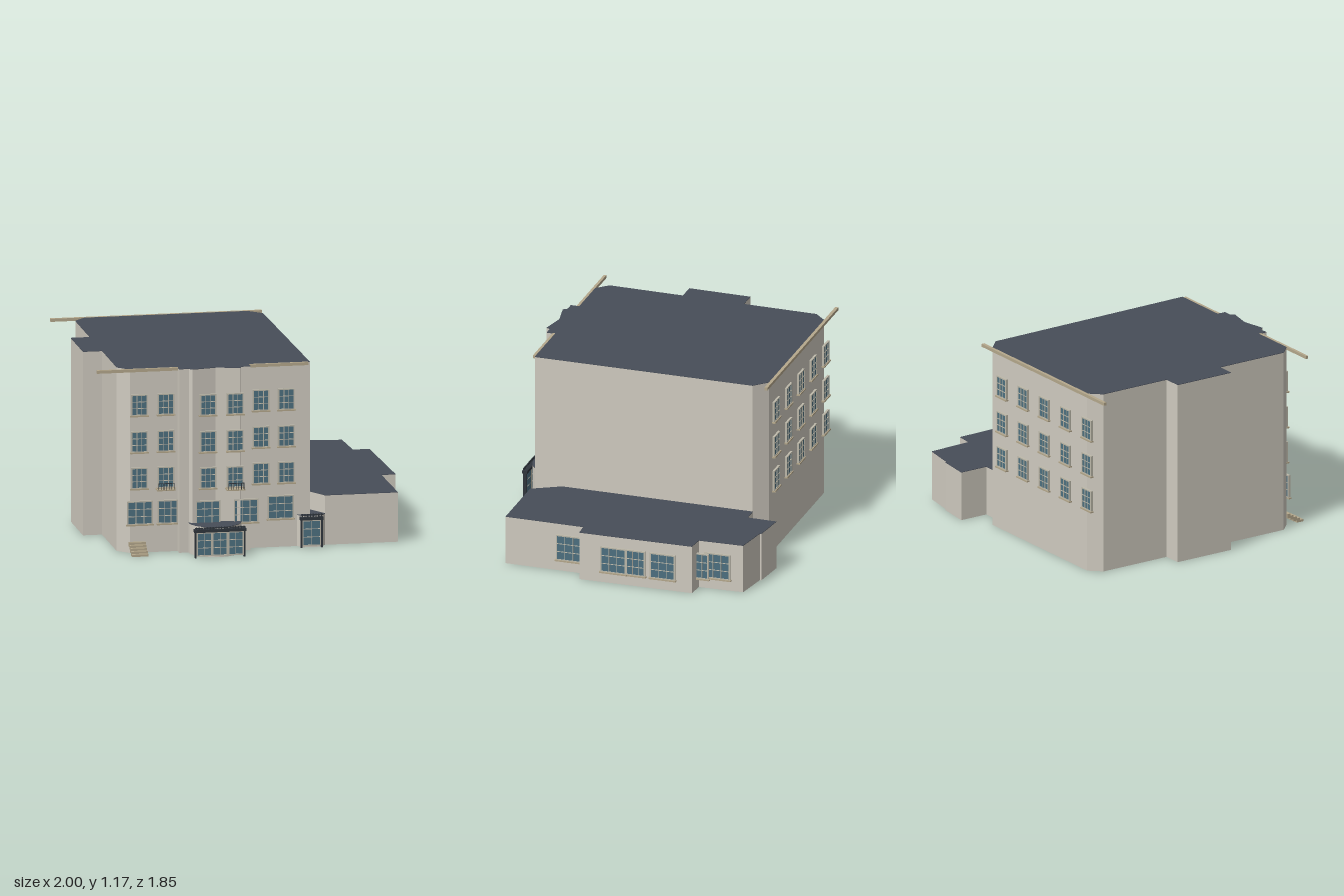
import * as THREE from 'three';

const mat = (color) => new THREE.MeshStandardMaterial({ color });
const WALL = mat(0xd0cbc0), ROOF = mat(0x474d58), GLASS = mat(0x4d7080);
const TRIM = mat(0xb5a88c), FRAME = mat(0xbdb9aa), DARK = mat(0x2f353c);

function box(name, material, x0, x1, y0, y1, z0, z1) {
  const m = new THREE.Mesh(new THREE.BoxGeometry(x1 - x0, y1 - y0, z1 - z0), material);
  m.position.set((x0 + x1) / 2, (y0 + y1) / 2, (z0 + z1) / 2);
  m.name = name;
  return m;
}

// Upright volume over a floor plan of [x, z] corners, with a thin dark roof on top
function block(name, plan, height) {
  const g = new THREE.Group();
  g.name = name;
  const shape = new THREE.Shape(plan.map(([x, z]) => new THREE.Vector2(x, -z)));
  const slab = (part, material, y, depth) => {
    const geo = new THREE.ExtrudeGeometry(shape, { depth, bevelEnabled: false });
    geo.rotateX(-Math.PI / 2);
    const m = new THREE.Mesh(geo, material);
    m.position.y = y;
    m.name = name + part;
    g.add(m);
  };
  slab('Walls', WALL, 0, height - 0.003);
  slab('Roof', ROOF, height - 0.003, 0.003);
  return g;
}

// Frame with a grid of openings, a pane behind it and an optional sill; faces +z
function makeWindow(name, w, h, cols, rows, frameMat = FRAME, sill = true) {
  const g = new THREE.Group();
  g.name = name;
  const rect = (P, x0, y0, x1, y1) => {
    const p = new P();
    p.moveTo(x0, y0).lineTo(x1, y0).lineTo(x1, y1).lineTo(x0, y1).closePath();
    return p;
  };
  const edge = 0.008, bar = 0.004;
  const shape = rect(THREE.Shape, -w / 2, 0, w / 2, h);
  const cw = (w - 2 * edge + bar) / cols, ch = (h - 2 * edge + bar) / rows;
  for (let i = 0; i < cols; i++) for (let j = 0; j < rows; j++) {
    const x = -w / 2 + edge + i * cw, y = edge + j * ch;
    shape.holes.push(rect(THREE.Path, x, y, x + cw - bar, y + ch - bar));
  }
  const frame = new THREE.Mesh(new THREE.ExtrudeGeometry(shape, { depth: 0.014, bevelEnabled: false }), frameMat);
  frame.name = 'windowFrame';
  g.add(frame, box('pane', GLASS, -w / 2 + 0.003, w / 2 - 0.003, 0.003, h - 0.003, 0.001, 0.011));
  if (sill) g.add(box('sill', TRIM, -w / 2 - 0.006, w / 2 + 0.006, -0.006, 0.003, 0, 0.02));
  return g;
}

export function createModel() {
  const model = new THREE.Group();
  const H = 1.165, FRONT = 0.68, BACK = -0.82, BAY = 0.755;

  // Main block with chamfered corners, left projection and shallow folded front bay
  model.add(block('mainBlock', [
    [-0.79, FRONT], [-0.49, FRONT], [-0.49, 0.735], [-0.43, 0.735], [-0.41, 0.76], [-0.26, 0.73],
    [-0.11, 0.76], [-0.1, 0.735], [-0.04, 0.735], [-0.04, FRONT], [0.343, FRONT], [0.322, -0.74],
    [0.24, BACK], [-0.79, BACK], [-0.86, -0.745], [-0.86, -0.27], [-0.98, -0.27],
    [-0.98, 0.13], [-0.86, 0.13], [-0.86, 0.61],
  ], H));

  // Low side wing
  model.add(block('sideWing', [
    [0.322, -0.742], [0.42, -0.742], [0.42, -0.93], [0.63, -0.905], [0.63, -0.895], [0.842, -0.86],
    [0.855, -0.575], [0.96, -0.565], [0.982, 0.165], [0.892, 0.17], [0.898, 0.677], [0.44, 0.677], [0.34, 0.5],
  ], 0.315));

  // Side porch in the corner between main block and wing
  model.add(block('sidePorch', [[0.3, 0.6], [0.26, 0.678], [0.29, 0.725], [0.41, 0.725], [0.44, 0.676], [0.34, 0.5]], 0.2));

  // Half-round entrance hall
  const arc = [[-0.43, 0.7]];
  for (let i = 0; i <= 16; i++) {
    const a = Math.PI * (1 - i / 16);
    arc.push([-0.267 + 0.165 * Math.cos(a), 0.735 + 0.165 * Math.sin(a)]);
  }
  arc.push([-0.1, 0.7]);
  model.add(block('entranceHall', arc, 0.19));

  // Roof edge boards
  model.add(
    box('backCornice', TRIM, -1, 0.33, 1.147, 1.166, -0.84, BACK),
    box('frontCorniceLeft', TRIM, -1, -0.49, 1.147, 1.166, FRONT, 0.697),
    box('frontCorniceRight', TRIM, -0.04, 0.33, 1.147, 1.166, FRONT, 0.697));

  // Upper windows, front and back
  const floors = [0.405, 0.635, 0.868];
  const place = (w, x, y, z, turn = 0) => {
    w.position.set(x, y, z);
    w.rotation.y = turn;
    model.add(w);
  };
  for (const y of floors) {
    for (const x of [-0.733, -0.565, -0.313, -0.142, 0.034, 0.193]) {
      const inBay = x > -0.4 && x < -0.05;
      place(makeWindow('upperFrontWindow', 0.104, 0.135, 3, 3), x, y, inBay ? BAY - 0.005 : FRONT);
    }
    for (const x of [-0.8, -0.565, -0.335, -0.105, 0.125])
      place(makeWindow('upperBackWindow', 0.104, 0.135, 3, 3), x, y, BACK, Math.PI);
  }

  // Ground floor front windows: [left, right, z]
  for (const [a, b, z] of [[-0.81, -0.647, FRONT], [-0.617, -0.49, FRONT], [-0.39, -0.235, 0.745],
    [-0.15, 0.004, 0.745], [0.075, 0.24, FRONT]])
    place(makeWindow('groundFrontWindow', b - a, 0.15, 3, 3), (a + b) / 2, 0.178, z);

  // Wing windows on the right: [z front, z back, x]
  for (const [a, b, x] of [[0.345, 0.175, 0.893], [0.025, -0.14, 0.976], [-0.14, -0.265, 0.97],
    [-0.295, -0.46, 0.966], [-0.565, -0.65, 0.88], [-0.61, -0.78, 0.849]])
    place(makeWindow('wingWindow', a - b, 0.17, a - b > 0.1 ? 3 : 2, 3), x, 0.073, (a + b) / 2, Math.PI / 2 + 0.02);

  // Small balconies with front railings
  for (const [x, z] of [[-0.57, FRONT], [-0.145, BAY]]) {
    const g = new THREE.Group();
    g.name = 'balcony';
    const zf = z + 0.057;
    g.add(box('balconyFloor', TRIM, x - 0.058, x + 0.058, 0.395, 0.403, z - 0.01, zf));
    g.add(box('handrail', DARK, x - 0.05, x + 0.05, 0.44, 0.444, zf - 0.004, zf));
    for (let i = 0; i < 7; i++) {
      const p = x - 0.05 + i * 0.0162;
      g.add(box('baluster', DARK, p, p + 0.003, 0.4, 0.442, zf - 0.004, zf));
    }
    model.add(g);
  }

  // Glazed doors with dark canopies and a row of short posts above
  const entrance = (name, x0, x1, z, doors, doorH, topY) => {
    const g = new THREE.Group();
    g.name = name;
    const w = (x1 - x0 - 0.02) / doors;
    for (let i = 0; i < doors; i++) {
      const d = makeWindow('glazedDoor', w, doorH - 0.01, 2, 3, FRAME, false);
      d.position.set(x0 + 0.01 + (i + 0.5) * w, 0.01, z);
      g.add(d);
    }
    for (const x of [x0, x1 - 0.01]) g.add(box('doorPost', DARK, x, x + 0.01, 0, doorH, z - 0.005, z + 0.018));
    g.add(box('canopy', DARK, x0 - 0.004, x1 + 0.004, doorH, doorH + 0.018, z - 0.01, z + 0.024));
    g.add(box('canopyRail', DARK, x0, x1, topY - 0.008, topY - 0.003, z + 0.014, z + 0.02));
    const n = Math.round((x1 - x0) / 0.018);
    for (let i = 0; i < n; i++) {
      const x = x0 + (i + 0.5) * (x1 - x0) / n;
      g.add(box('canopyPost', DARK, x - 0.003, x + 0.003, doorH + 0.01, topY, z + 0.014, z + 0.02));
    }
    model.add(g);
  };
  entrance('mainEntrance', -0.425, -0.107, 0.896, 3, 0.162, 0.195);
  entrance('sideEntrance', 0.275, 0.413, 0.727, 1, 0.175, 0.215);

  // Outside steps rising to the front wall
  for (let i = 0; i < 5; i++) {
    const y = 0.07 - i * 0.014, z = FRONT + i * 0.024;
    model.add(box('step', TRIM, -0.798, -0.695, Math.max(0, y - 0.028), y, z, z + 0.024));
  }
  return model;
}
